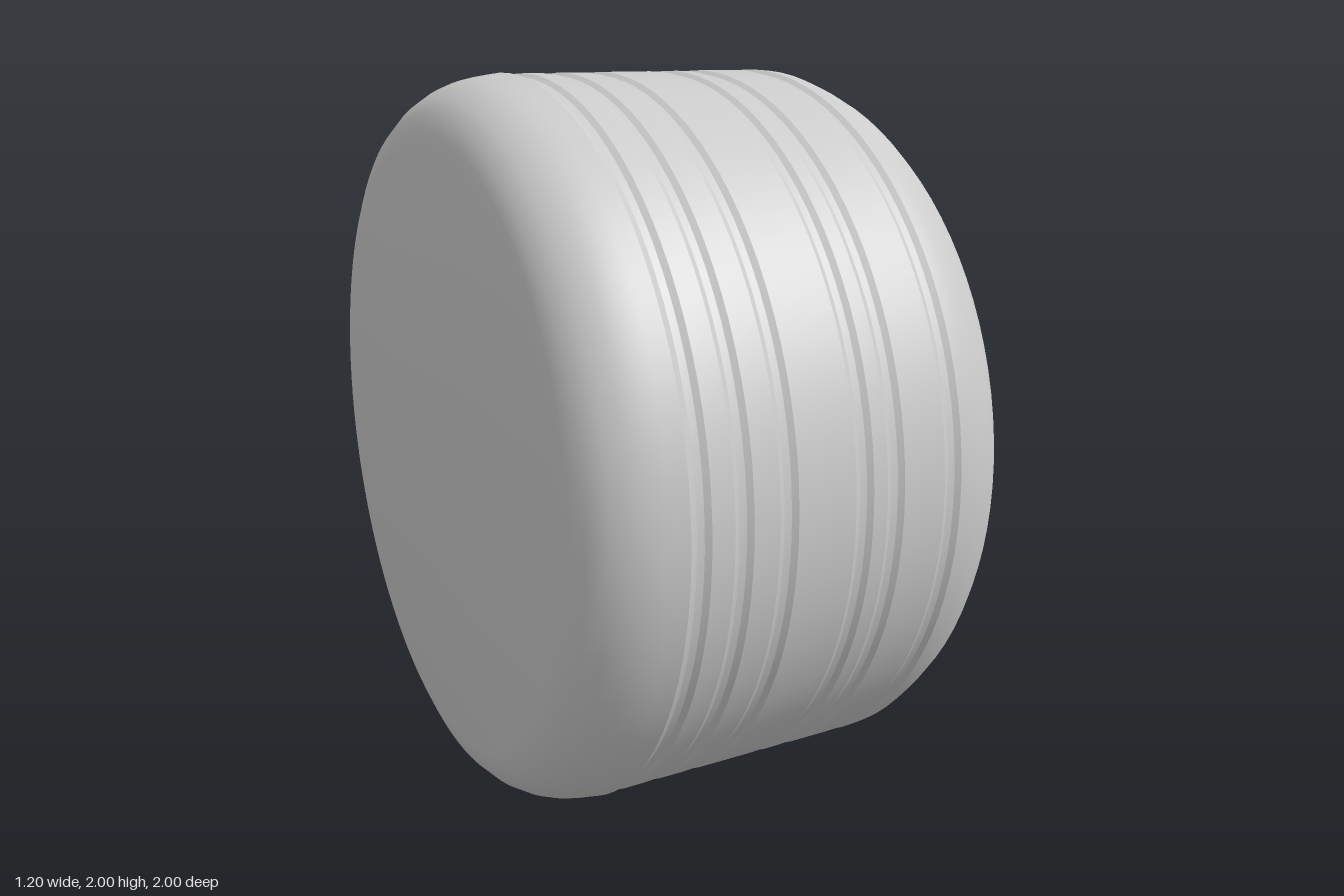
import * as THREE from 'three';
import { toCreasedNormals } from 'three/addons/utils/BufferGeometryUtils.js';
import { ParametricGeometry } from 'three/addons/geometries/ParametricGeometry.js';

const mat = (color) => new THREE.MeshStandardMaterial({ color, side: THREE.DoubleSide });

// Parts are built with the axle along z, outer face towards +z
const SLOPE = 0.9, APEX = 0.45;
const dishHeight = (r) => APEX - SLOPE * r;

// Turned part from [radius, axial position] pairs
function turned(profile, crease = 0.45) {
  const points = profile.map(([r, a]) => new THREE.Vector2(r, a));
  const geo = new THREE.LatheGeometry(points, 96).rotateX(Math.PI / 2);
  return toCreasedNormals(geo, crease);
}

// Tyre with closed back, shallow tread grooves and rounded shoulders
function tyreProfile() {
  const p = [[0, -0.6], [0.82, -0.6], [0.86, -0.59], [0.9, -0.573], [0.94, -0.535],
    [0.968, -0.49], [0.983, -0.45], [0.991, -0.41], [0.998, -0.36]];
  const grooves = [-0.33, -0.22, -0.1, 0.11, 0.2, 0.37];
  for (const g of grooves) {
    const r = 0.995 - 0.008 * (g + 0.33);
    p.push([r, g - 0.025], [r - 0.008, g - 0.01], [r - 0.008, g + 0.01], [r, g + 0.025]);
  }
  p.push([0.986, 0.435], [0.968, 0.48], [0.945, 0.525], [0.915, 0.56], [0.88, 0.586],
    [0.85, 0.597], [0.83, 0.6], [0.817, 0.595], [0.81, 0.575]);
  return p;
}

// Half of the web between two panels, leaving half a window along its centre line
function webHalf(side) {
  const geo = new ParametricGeometry((u, v, target) => {
    const r = THREE.MathUtils.lerp(0.07, 0.51, u);
    const open = r > 0.37 ? 0.19 * Math.pow(Math.min(1, (r - 0.37) / 0.11), 0.6) : 0;
    const a = side * THREE.MathUtils.lerp(open, Math.PI / 5, v);
    target.set(Math.sin(a) * r, Math.cos(a) * r, dishHeight(r));
  }, 44, 6);
  return geo;
}

// Raised wedge panel with rounded outer corners, tilted to lie on the dish
function panelGeometry() {
  const tilt = Math.atan(SLOPE), k = 1 / Math.cos(tilt);
  const s = new THREE.Shape();
  s.moveTo(-0.025, 0.09 * k);
  s.lineTo(0.025, 0.09 * k);
  s.lineTo(0.13, 0.42 * k);
  s.quadraticCurveTo(0.138, 0.455 * k, 0.1, 0.46 * k);
  s.quadraticCurveTo(0, 0.475 * k, -0.1, 0.46 * k);
  s.quadraticCurveTo(-0.138, 0.455 * k, -0.13, 0.42 * k);
  s.closePath();
  const geo = new THREE.ExtrudeGeometry(s, {
    depth: 0.035, bevelEnabled: true, bevelThickness: 0.008, bevelSize: 0.008, bevelSegments: 2, curveSegments: 8,
  });
  geo.translate(0, 0, -0.025).rotateX(-tilt).translate(0, 0, APEX);
  return toCreasedNormals(geo, 0.5);
}

export function createModel() {
  const model = new THREE.Group();
  model.name = 'wheel';
  const rubber = mat(0xcccccc), metal = mat(0xa2a3ab);
  const dark = mat(0x37383d), black = mat(0x2b2c30);

  const add = (name, geo, material, parent = model) => {
    const mesh = new THREE.Mesh(geo, material);
    mesh.name = name;
    parent.add(mesh);
    return mesh;
  };

  add('tyre', turned(tyreProfile()), rubber);

  // Rim: outer lip, deep barrel, step and inner cone
  add('rimLip', turned([[0.812, 0.58], [0.795, 0.566], [0.775, 0.562], [0.755, 0.57],
    [0.74, 0.584], [0.73, 0.588], [0.72, 0.584], [0.715, 0.57]]), metal);
  add('rimBarrel', turned([[0.715, 0.57], [0.705, 0.54], [0.69, 0], [0.683, -0.02],
    [0.62, -0.03], [0.56, -0.11]]), metal);
  add('rimEdge', new THREE.TorusGeometry(0.727, 0.005, 8, 96).translate(0, 0, 0.586), dark);

  // Dark ring that carries the spokes
  add('spokeRing', turned([[0.56, -0.11], [0.555, -0.04], [0.54, -0.028], [0.525, -0.03],
    [0.5, 0], [0.49, -0.04]]), black);

  // Five panels with a windowed web between each pair
  const panel = panelGeometry();
  const webs = [webHalf(1), webHalf(-1)];
  for (let i = 0; i < 5; i++) {
    const spoke = new THREE.Group();
    spoke.name = 'spoke' + (i + 1);
    spoke.rotation.z = (i * Math.PI * 2) / 5;
    add('spokePanel', panel, dark, spoke);
    for (const geo of webs) add('spokeWeb', geo, black, spoke).rotation.z = Math.PI / 5;
    model.add(spoke);
  }

  // Hub collar and centre nut
  add('hubCollar', turned([[0.1, 0.2], [0.1, 0.365], [0.092, 0.375], [0.08, 0.375]]), black);
  add('hubNut', turned([[0.085, 0.3], [0.085, 0.45], [0.078, 0.46], [0, 0.46]]), dark);

  // Turn the axle onto x and stand the wheel on the ground
  model.rotation.y = Math.PI / 2;
  model.position.y = 1;
  const root = new THREE.Group();
  root.name = 'wheelModel';
  root.add(model);
  return root;
}
